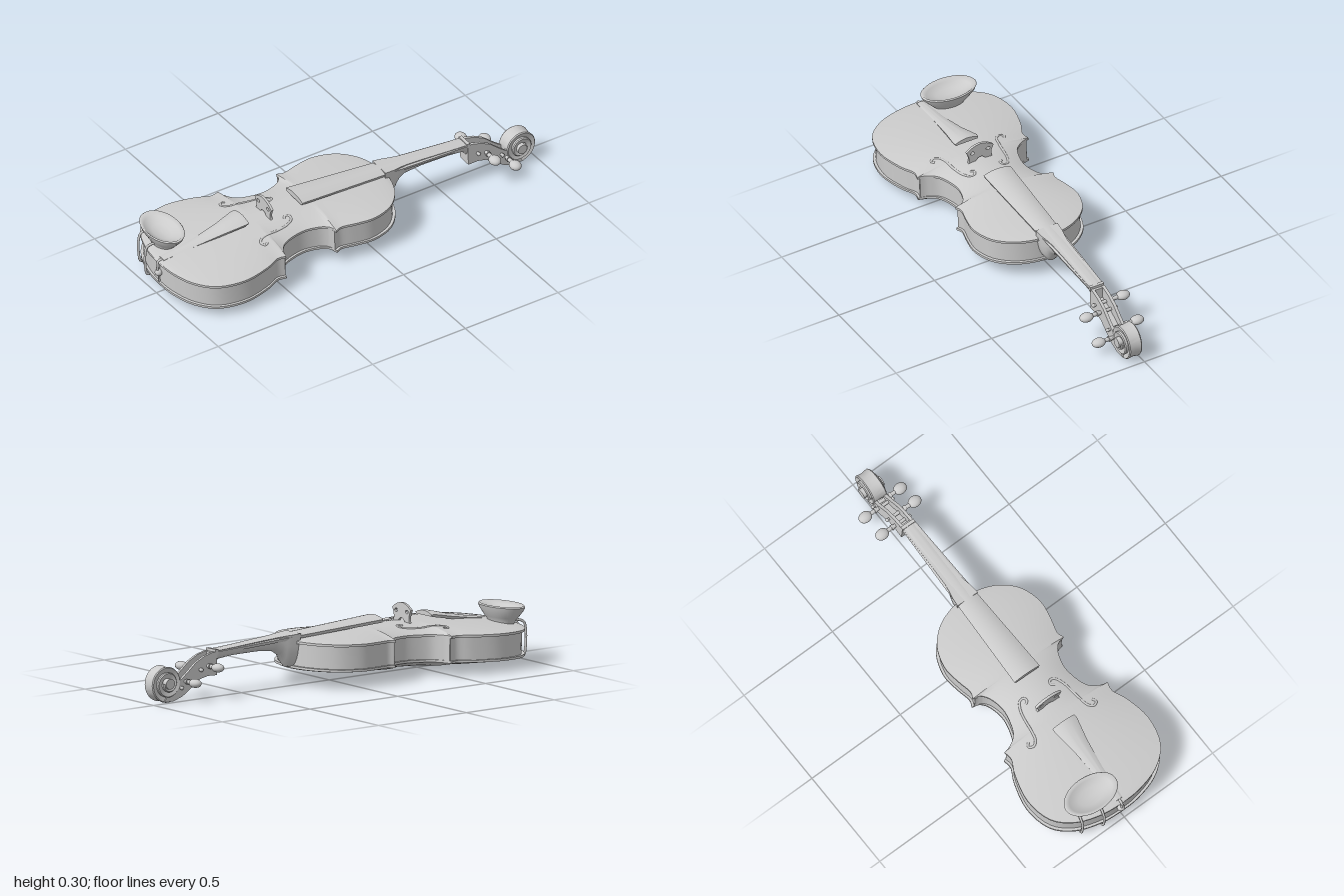
import * as THREE from 'three';
import { toCreasedNormals } from 'three/addons/utils/BufferGeometryUtils.js';

const V2 = (p) => new THREE.Vector2(...p);
const V3 = (p) => new THREE.Vector3(...p);
const TILT = 0.034;
const lv = (x, y) => y - TILT * x; // height measured in the untilted instrument frame
const material = new THREE.MeshStandardMaterial({ color: 0xcccccc, roughness: 0.7 });

function part(parent, name, geometry, crease = 0.6) {
  const m = new THREE.Mesh(crease ? toCreasedNormals(geometry, crease) : geometry, material);
  m.name = name;
  parent.add(m);
  return m;
}

// Skin a row of equal-length rings and close both ends
function loft(rings) {
  const n = rings[0].length, idx = [];
  rings.forEach((_, i) => {
    if (i === rings.length - 1) return;
    for (let j = 0; j < n; j++) {
      const a = i * n + j, b = i * n + (j + 1) % n;
      idx.push(a, b, b + n, a, b + n, a + n);
    }
  });
  const e = (rings.length - 1) * n;
  for (let j = 1; j < n - 1; j++) idx.push(0, j + 1, j, e, e + j, e + j + 1);
  const g = new THREE.BufferGeometry();
  g.setAttribute('position', new THREE.Float32BufferAttribute(rings.flat(2), 3));
  g.setIndex(idx);
  g.computeVertexNormals();
  return g;
}

const tube = (pts, r, n = 40) => new THREE.TubeGeometry(new THREE.CatmullRomCurve3(pts.map(V3)), n, r, 8);

// Half outline: lower bout, waist, upper bout, meeting at sharp corners
const outline = [
  [[-0.985, 0], [-0.978, 0.1], [-0.94, 0.22], [-0.86, 0.308], [-0.73, 0.338], [-0.6, 0.312], [-0.53, 0.281], [-0.487, 0.287]],
  [[-0.484, 0.285], [-0.472, 0.245], [-0.43, 0.198], [-0.33, 0.172], [-0.25, 0.186], [-0.208, 0.215], [-0.197, 0.252]],
  [[-0.193, 0.252], [-0.16, 0.242], [-0.09, 0.258], [0, 0.268], [0.1, 0.236], [0.17, 0.165], [0.205, 0.08], [0.215, 0]],
].flatMap((c) => new THREE.SplineCurve(c.map(V2)).getPoints(28)).map((p) => [p.x, Math.max(p.y, 0)]);

const EDGE_TOP = 0.2, EDGE_BOTTOM = 0.075;
const bulge = (x, t) => Math.pow(Math.max(0, Math.sin(Math.PI * (x + 0.985) / 1.2)), 0.6) * (1 - t * t);
function topY(x, z) {
  const near = outline.reduce((a, b) => (Math.abs(b[0] - x) < Math.abs(a[0] - x) ? b : a));
  return EDGE_TOP + 0.037 * bulge(x, Math.min(1, Math.abs(z) / near[1]));
}

function bodyGeometry() {
  const N = 24, lip = 0.011;
  return loft(outline.map(([x, w]) => {
    const top = [], bottom = [];
    for (let k = 0; k <= N; k++) {
      const t = -1 + (2 * k) / N;
      top.push([x, EDGE_TOP + 0.037 * bulge(x, t), w * t]);
      bottom.push([x, EDGE_BOTTOM - 0.038 * bulge(x, t), -w * t]);
    }
    const wi = Math.max(0, w - 0.011), xi = (x + 0.385) * 0.984 - 0.385;
    const hi = EDGE_TOP - lip, lo = EDGE_BOTTOM + lip;
    return [...top, [x, hi, w], [xi, hi, wi], [xi, lo, wi], [x, lo, w],
      ...bottom, [x, lo, -w], [xi, lo, -wi], [xi, hi, -wi], [x, hi, -w]];
  }));
}

// Board with a slightly rounded top: stations are [x, top, bottom, halfWidth, crown]
const board = (stations) => loft(stations.map(([x, t, b, w, crown]) => {
  const ring = [];
  for (let k = 0; k <= 10; k++) {
    const s = -1 + k / 5;
    ring.push([x, t - crown * s * s, w * s]);
  }
  return [...ring, [x, b, w * 0.9], [x, b, -w * 0.9]];
}));

// Neck: flat on top, round beneath
const neckGeometry = () => loft([
  [0.19, 0.235, 0.078, 0.056], [0.235, 0.23, 0.078, 0.052], [0.255, 0.228, 0.1, 0.048], [0.275, 0.226, 0.135, 0.044],
  [0.31, 0.222, 0.157, 0.039], [0.4, 0.213, 0.163, 0.036], [0.54, 0.198, 0.157, 0.034], [0.625, 0.19, 0.145, 0.033], [0.66, 0.18, 0.09, 0.03],
].map(([x, t, b, w]) => {
  const ring = [];
  for (let k = 0; k <= 14; k++) {
    const a = (Math.PI * k) / 14;
    ring.push([x, t - (t - b) * Math.pow(Math.sin(a), 0.7), w * Math.cos(a)]);
  }
  return ring;
}));

// Side profile extruded across the instrument, centred on z
function slab(points, z, depth) {
  const s = new THREE.Shape(points.map(([x, y]) => V2([x, lv(x, y)])));
  return new THREE.ExtrudeGeometry(s, { depth, bevelEnabled: false }).translate(0, 0, z - depth / 2);
}

function scrollGeometry() {
  const cx = 0.915, cy = lv(0.915, 0.092), rings = [];
  const radius = (q) => Math.max(0.006, 0.088 - 0.0062 * q);
  for (let i = 0; i <= 130; i++) {
    const q = -0.5 + (i / 130) * 9.5, a = (q - 1) * Math.PI / 2;
    const ro = radius(q), ri = Math.min(radius(q + 4) - 0.001, ro * 0.75), hw = 0.031 + 0.0022 * q;
    const at = (r, z) => [cx + r * Math.cos(a), cy + r * Math.sin(a), z];
    rings.push([at(ri, -hw + 0.007), at(ri, hw - 0.007), at(ro - 0.004, hw), at(ro, hw - 0.005),
      at(ro - 0.004, 0), at(ro, -hw + 0.005), at(ro - 0.004, -hw)]);
  }
  return loft(rings);
}

function bridgeGeometry() {
  const s = new THREE.Shape();
  s.moveTo(-0.066, 0.225);
  s.lineTo(-0.03, 0.228);
  s.quadraticCurveTo(0, 0.275, 0.03, 0.228);
  s.lineTo(0.066, 0.225);
  s.quadraticCurveTo(0.045, 0.25, 0.07, 0.292);
  s.quadraticCurveTo(0, 0.35, -0.07, 0.292);
  s.quadraticCurveTo(-0.045, 0.25, -0.066, 0.225);
  for (const x of [-0.04, 0.04]) {
    const h = new THREE.Path();
    h.absellipse(x, 0.282, 0.011, 0.008, 0, Math.PI * 2, true);
    s.holes.push(h);
  }
  return new THREE.ExtrudeGeometry(s, { depth: 0.012, bevelEnabled: false }).rotateY(Math.PI / 2).translate(-0.425, 0, 0);
}

export function createModel() {
  const violin = new THREE.Group();
  violin.name = 'violin';

  part(violin, 'body', bodyGeometry());
  part(violin, 'neck', neckGeometry());
  part(violin, 'fingerboard', board([[-0.26, 0.279, 0.25, 0.07, 0.014], [0.2, 0.235, 0.21, 0.053, 0.011], [0.635, 0.191, 0.172, 0.037, 0.006]]));
  part(violin, 'nut', new THREE.BoxGeometry(0.016, 0.022, 0.07).translate(0.643, 0.184, 0));
  part(violin, 'bridge', bridgeGeometry());
  part(violin, 'tailpiece', board([[-0.965, 0.212, 0.198, 0.018, 0.003], [-0.8, 0.23, 0.212, 0.026, 0.006],
    [-0.66, 0.254, 0.232, 0.042, 0.01], [-0.555, 0.277, 0.25, 0.062, 0.014], [-0.537, 0.276, 0.254, 0.06, 0.014]]));

  // Sound holes, drawn as narrow S-curves lying on the top plate
  for (const side of [-1, 1]) {
    const hole = [[-0.515, 0.178], [-0.532, 0.188], [-0.544, 0.168], [-0.525, 0.145], [-0.48, 0.134], [-0.42, 0.126],
      [-0.37, 0.115], [-0.337, 0.095], [-0.334, 0.074], [-0.352, 0.066], [-0.364, 0.08]];
    part(violin, 'soundHole', tube(hole.map(([x, z]) => [x, topY(x, z) - 0.002, z * side]), 0.006, 60), 0);
  }

  // End button, tail gut and chin rest with its two clamps
  const button = part(violin, 'endButton', new THREE.SphereGeometry(0.018, 16, 12), 0);
  button.position.set(-0.983, 0.14, 0);
  part(violin, 'tailGut', tube([[-0.955, 0.205, 0], [-0.985, 0.2, 0], [-0.988, 0.15, 0]], 0.006, 12), 0);
  const dish = [[0, 0.19], [0.5, 0.19], [0.56, 0.215], [0.72, 0.237], [0.95, 0.272], [1, 0.287], [0.95, 0.293], [0.8, 0.277], [0.45, 0.262], [0, 0.257]];
  const rest = part(violin, 'chinRest', new THREE.LatheGeometry(dish.map(V2), 40), 0.7);
  rest.scale.set(0.085, 1, 0.137);
  rest.position.set(-0.893, 0, -0.108);
  for (const [x, z] of [[-0.981, -0.1], [-0.953, -0.2]]) {
    part(violin, 'chinRestClamp', tube([[x + 0.06, 0.235, z + 0.015], [x + 0.005, 0.22, z], [x - 0.008, 0.19, z],
      [x - 0.008, 0.09, z], [x, 0.066, z], [x + 0.04, 0.063, z + 0.01]], 0.006, 24), 0);
  }

  // Pegbox: two cheeks around a floor, leaving an open channel
  const lower = [[0.93, 0.012], [0.88, 0.008], [0.83, 0.025], [0.78, 0.058], [0.735, 0.092], [0.69, 0.102], [0.64, 0.1]];
  const cheek = [[0.64, 0.205], [0.66, 0.207], [0.71, 0.194], [0.76, 0.168], [0.8, 0.133], [0.835, 0.105], [0.87, 0.09], ...lower];
  const floor = [[0.64, 0.195], [0.66, 0.15], [0.72, 0.13], [0.78, 0.095], [0.83, 0.065], [0.87, 0.06], ...lower];
  for (const side of [-1, 1]) part(violin, 'pegboxCheek', slab(cheek, side * 0.027, 0.014));
  part(violin, 'pegboxFloor', slab(floor, 0, 0.05));

  part(violin, 'scroll', scrollGeometry());
  const eye = part(violin, 'scrollEye', new THREE.CylinderGeometry(0.024, 0.024, 0.112, 24).rotateX(Math.PI / 2));
  eye.position.set(0.915, lv(0.915, 0.092), 0);

  // Four pegs, alternating sides
  for (const [x, y, side] of [[0.69, 0.148, -1], [0.735, 0.135, 1], [0.815, 0.092, -1], [0.842, 0.065, 1]]) {
    const peg = new THREE.Group();
    peg.name = 'peg';
    const shaft = part(peg, 'pegShaft', new THREE.CylinderGeometry(0.01, 0.007, 0.125, 12).rotateX(Math.PI / 2));
    shaft.position.z = 0.02;
    const collar = part(peg, 'pegCollar', new THREE.CylinderGeometry(0.014, 0.012, 0.012, 14).rotateX(Math.PI / 2));
    collar.position.z = 0.05;
    const head = part(peg, 'pegHead', new THREE.SphereGeometry(1, 18, 12), 0);
    head.scale.set(0.027, 0.02, 0.033);
    head.position.z = 0.107;
    const tip = part(peg, 'pegTip', new THREE.SphereGeometry(0.009, 10, 8), 0);
    tip.position.z = -0.045;
    peg.position.set(x, lv(x, y), 0);
    if (side < 0) peg.rotation.y = Math.PI;
    violin.add(peg);
  }

  // The instrument rests slightly askew
  violin.rotation.set(0.015, -0.024, TILT);
  violin.position.set(0.003, 0, 0.016);
  const model = new THREE.Group();
  model.name = 'model';
  model.add(violin);
  return model;
}
